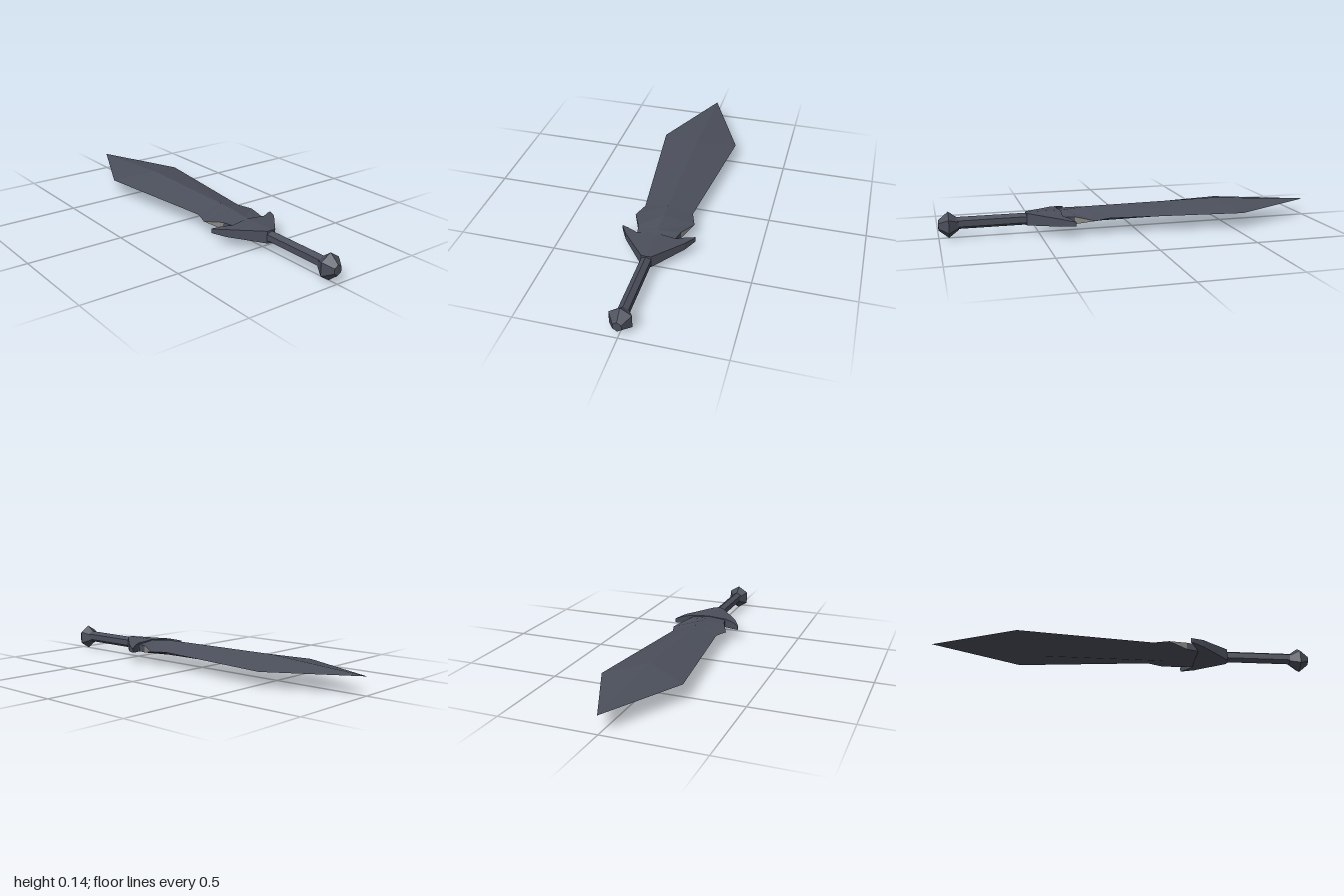
import * as THREE from 'three';

const steel = new THREE.MeshStandardMaterial({ color: 0x4b4f5b, flatShading: true });
steel.name = 'darkSteel';
const bare = new THREE.MeshStandardMaterial({ color: 0x8a8884, flatShading: true });
bare.name = 'bareGrey';

// Skin a list of equal rings (counterclockwise about the loft direction), capping both ends.
// isBare(section, side) picks the faces that take the second material.
function loft(rings, isBare = () => false) {
  const faces = [[], []];
  const n = rings[0].length;
  for (let k = 0; k < rings.length - 1; k++) {
    for (let i = 0; i < n; i++) {
      const j = (i + 1) % n, a = rings[k], b = rings[k + 1];
      faces[isBare(k, i) ? 1 : 0].push(...a[i], ...a[j], ...b[j], ...a[i], ...b[j], ...b[i]);
    }
  }
  const first = rings[0], last = rings[rings.length - 1];
  for (let i = 1; i < n - 1; i++) {
    faces[0].push(...first[0], ...first[i + 1], ...first[i], ...last[0], ...last[i], ...last[i + 1]);
  }
  const geo = new THREE.BufferGeometry();
  geo.setAttribute('position', new THREE.Float32BufferAttribute([...faces[0], ...faces[1]], 3));
  geo.addGroup(0, faces[0].length / 3, 0);
  if (faces[1].length) geo.addGroup(faces[0].length / 3, faces[1].length / 3, 1);
  geo.computeVertexNormals();
  return geo;
}

function addMesh(group, name, geo, material) {
  const mesh = new THREE.Mesh(geo, material);
  mesh.name = name;
  group.add(mesh);
}

export function createModel() {
  const sword = new THREE.Group();
  sword.name = 'sword';

  // Blade: edge z, half width, edge half thickness, edge height, ridge z, ridge top, ridge bottom
  const bladeRings = [
    [-1.0, 0, 0, 0.09, -1.0, 0.09, 0.09],
    [-0.55, 0.209, 0, 0.083, -0.45, 0.126, 0.043],
    [0.15, 0.127, 0, 0.081, 0.17, 0.121, 0.039],
    [0.23, 0.155, 0, 0.078, 0.25, 0.12, 0.038],
    [0.33, 0.11, 0.019, 0.076, 0.36, 0.109, 0.042],
    [0.39, 0.095, 0.019, 0.075, 0.42, 0.102, 0.046],
    [0.46, 0.07, 0.015, 0.075, 0.48, 0.098, 0.05],
  ].map(([z, w, t, y, rz, top, bottom]) => {
    const roll = w * 0.014; // the blade leans slightly about its length
    return [
      [0, top, rz], [-w, y + roll + t, z], [-w, y + roll - t, z],
      [0, bottom, rz], [w, y - roll - t, z], [w, y - roll + t, z],
    ];
  });
  // the blunt edges just ahead of the guard are bare
  addMesh(sword, 'blade', loft(bladeRings, (k, i) => k === 3 && (i === 1 || i === 4)), [steel, bare]);

  // Guard: x, back z, front z, low y, high y; mirrored into two swept horns
  const half = [
    [0, 0.385, 0.565, 0.042, 0.109],
    [0.025, 0.385, 0.56, 0.044, 0.107],
    [0.1, 0.39, 0.47, 0.052, 0.1],
    [0.15, 0.362, 0.41, 0.057, 0.096],
    [0.187, 0.338, 0.345, 0.063, 0.086],
  ];
  const guardRings = [...half.slice(1).reverse().map(([x, ...rest]) => [-x, ...rest]), ...half]
    .map(([x, back, front, low, high]) => [[x, low, back], [x, high, back], [x, high, front], [x, low, front]]);
  addMesh(sword, 'guard', loft(guardRings), [steel]);

  // Six-sided grip and pommel, turned about the z axis
  const turned = (name, profile, y) => {
    const geo = new THREE.LatheGeometry(profile.map(([r, z]) => new THREE.Vector2(r, z)), 6);
    geo.rotateX(Math.PI / 2).scale(0.92, 1, 1).translate(0, y, 0);
    addMesh(sword, name, geo, steel);
  };
  turned('grip', [[0.031, 0.5], [0.031, 0.91]], 0.074);
  turned('pommel', [[0, 0.9], [0.03, 0.9], [0.0675, 0.95], [0.026, 1], [0, 1]], 0.0675);

  return sword;
}
